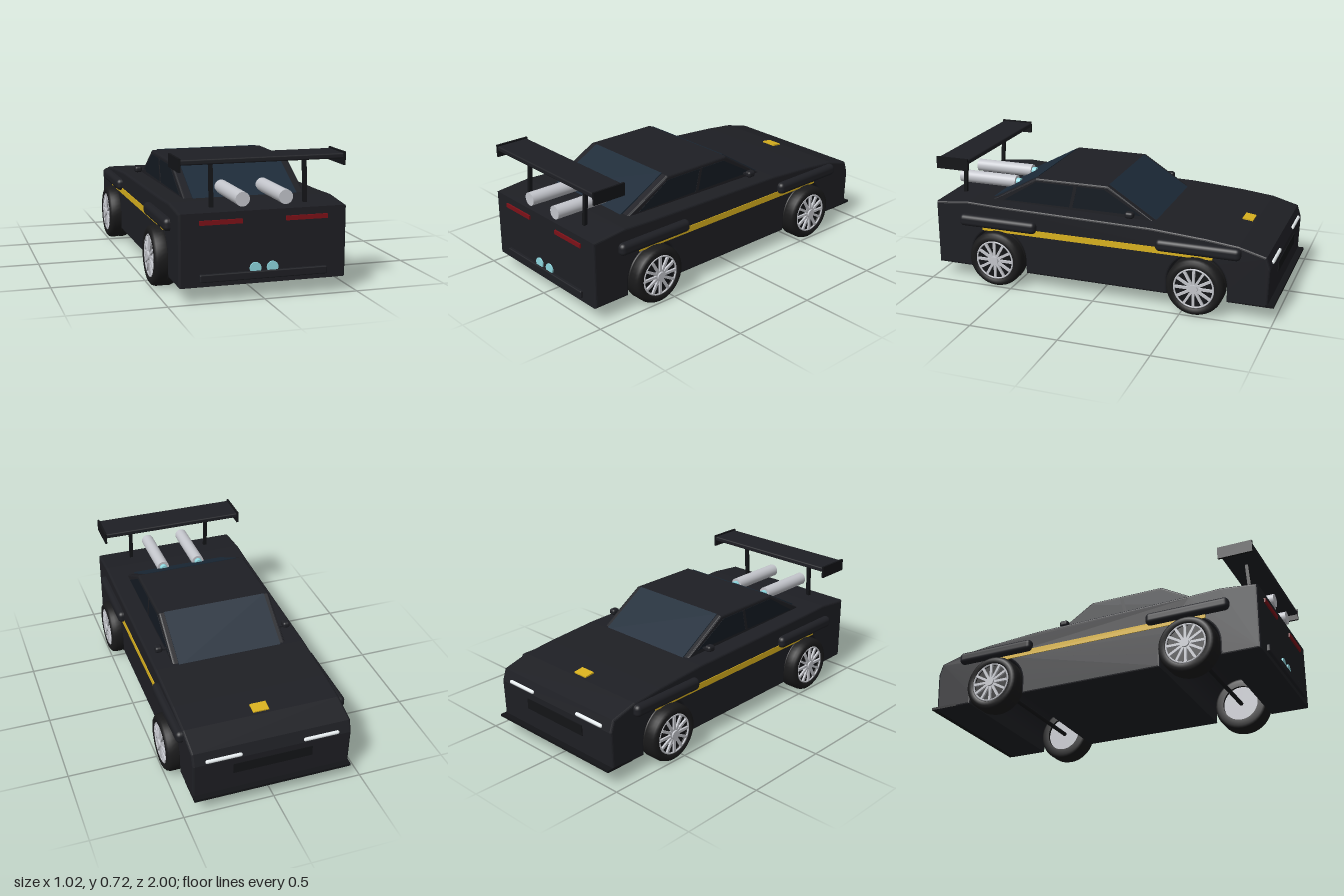
import * as THREE from 'three';
import { RoundedBoxGeometry } from 'three/addons/geometries/RoundedBoxGeometry.js';

const mat = (color) => new THREE.MeshStandardMaterial({ color });
const paint = mat(0x1e1f24), black = mat(0x131417), rubber = mat(0x1a1a1b), glass = mat(0x1c2a38);
const sideGlass = mat(0x141a22), gold = mat(0xd9b11e), red = mat(0x7d1118);
const silver = mat(0xc4c6cc), white = mat(0xe8eef0), cyan = mat(0x8fd8e0);

export function createModel() {
  const car = new THREE.Group();
  car.name = 'sportsCar';

  const add = (name, geometry, material, x = 0, y = 0, z = 0, parent = car) => {
    const m = new THREE.Mesh(geometry, material);
    m.name = name;
    m.position.set(x, y, z);
    parent.add(m);
    return m;
  };
  const box = (name, material, w, h, d, x, y, z) =>
    add(name, new THREE.BoxGeometry(w, h, d), material, x, y, z);
  const rounded = (name, material, w, h, d, r, x, y, z) =>
    add(name, new RoundedBoxGeometry(w, h, d, 3, r), material, x, y, z);

  // Extrudes a (z, y) side profile across the car, centred on x
  const across = (shape, width, bevel = 0) => {
    const g = new THREE.ExtrudeGeometry(shape, {
      depth: width - 2 * bevel, bevelEnabled: bevel > 0, bevelSize: bevel,
      bevelThickness: bevel, bevelOffset: -bevel, bevelSegments: 3, curveSegments: 28,
    });
    g.translate(0, 0, -(width - 2 * bevel) / 2);
    return g.rotateY(-Math.PI / 2);
  };
  const polygon = (pts) => new THREE.Shape(pts.map(([z, y]) => new THREE.Vector2(z, y)));

  // Lower body with wheel arches
  const axles = [-0.575, 0.595];
  const axleY = 0.16;
  const body = new THREE.Shape();
  body.moveTo(-0.965, 0.08);
  for (const z of axles) {
    body.lineTo(z - 0.167, 0.08);
    body.lineTo(z - 0.167, axleY);
    body.absarc(z, axleY, 0.167, Math.PI, 0, true);
    body.lineTo(z + 0.167, 0.08);
  }
  for (const [z, y] of [[0.98, 0.08], [0.98, 0.452], [0.78, 0.472], [0.6, 0.465], [-0.31, 0.45],
    [-0.62, 0.428], [-0.8, 0.408], [-0.95, 0.367], [-0.972, 0.3]]) body.lineTo(z, y);
  add('body', across(body, 0.88, 0.012), paint);

  // Cabin and glass
  const cabin = [[0.7, 0.45], [0.4, 0.62], [-0.03, 0.62], [-0.31, 0.44]];
  add('cabin', across(polygon(cabin), 0.665, 0.012), paint);
  const slab = (a, b, t) => polygon([a, b, [b[0], b[1] + t], [a[0], a[1] + t]]);
  add('windshield', across(slab([-0.315, 0.436], [-0.03, 0.616], 0.008), 0.6), glass);
  add('rearWindow', across(slab([0.4, 0.616], [0.7, 0.453], 0.008), 0.57), glass);
  const sideWindow = polygon([[0.6, 0.472], [0.4, 0.598], [-0.01, 0.598], [-0.225, 0.472]]);
  add('sideWindows', across(sideWindow, 0.669), sideGlass);
  const doorPillar = polygon([[0.2, 0.47], [0.17, 0.6], [0.15, 0.6], [0.18, 0.47]]);
  add('doorPillars', across(doorPillar, 0.672), paint);

  // Bumpers, splitter and grille
  rounded('rearBumper', paint, 0.67, 0.04, 0.04, 0.006, 0, 0.125, 0.977);
  box('frontSplitter', black, 0.88, 0.014, 0.165, 0, 0.092, -0.917);
  box('grille', black, 0.44, 0.06, 0.012, 0, 0.235, -0.969);
  box('hoodBadge', gold, 0.09, 0.012, 0.06, 0, 0.415, -0.755).rotation.x = -0.14;

  // Parts mirrored on both sides
  for (const s of [-1, 1]) {
    box('sideStripe', gold, 0.01, 0.035, 1.35, s * 0.439, 0.33, 0.015);
    for (const z of axles) rounded('fenderFlare', paint, 0.075, 0.068, 0.47, 0.025, s * 0.437, 0.366, z - 0.005);

    box('tailLight', red, 0.22, 0.023, 0.016, s * 0.225, 0.403, 0.981);
    const lamp = add('headlight', new THREE.CapsuleGeometry(0.011, 0.18, 4, 12), white, s * 0.27, 0.315, -0.967);
    lamp.rotation.z = Math.PI / 2;

    // Wing mirror on its stalk
    rounded('mirror', paint, 0.042, 0.036, 0.05, 0.014, s * 0.381, 0.489, -0.175);
    box('mirrorStalk', paint, 0.06, 0.01, 0.014, s * 0.35, 0.478, -0.175);

    // Tail exhausts and deck pipes
    const tip = add('exhaustTip', new THREE.CylinderGeometry(0.03, 0.03, 0.03, 24), cyan, s * 0.045, 0.159, 0.973);
    const pipe = add('deckPipe', new THREE.CylinderGeometry(0.037, 0.037, 0.36, 28), silver, s * 0.113, 0.51, 0.8);
    const cap = add('pipeNozzle', new THREE.CylinderGeometry(0.022, 0.022, 0.03, 20), cyan, s * 0.113, 0.51, 0.61);
    for (const p of [tip, pipe, cap]) p.rotation.x = Math.PI / 2;

    // Wing supports and end plates
    const strut = [[0.9, 0.45], [0.882, 0.69], [0.864, 0.69], [0.88, 0.45]];
    add('wingStrut', across(polygon(strut), 0.02), black, s * 0.248);
    box('wingEndPlate', black, 0.012, 0.068, 0.195, s * 0.43, 0.687, 0.867);
  }
  rounded('wingBlade', paint, 0.86, 0.028, 0.19, 0.008, 0, 0.7, 0.867);

  // Wheel with its axis along y, outer face up
  const tireProfile = [[0.105, -0.0625], [0.14, -0.0625], [0.154, -0.054], [0.16, -0.036], [0.16, -0.012],
    [0.156, -0.009], [0.156, -0.004], [0.16, 0], [0.16, 0.036], [0.154, 0.052], [0.14, 0.0625],
    [0.118, 0.0625], [0.112, 0.05], [0.105, -0.0625]].map(([r, y]) => new THREE.Vector2(r, y));
  const tire = new THREE.LatheGeometry(tireProfile, 40);
  const spoke = new THREE.BoxGeometry(0.088, 0.012, 0.014).translate(0.062, 0, 0);
  const makeWheel = () => {
    const wheel = new THREE.Group();
    wheel.name = 'wheel';
    add('tire', tire, rubber, 0, 0, 0, wheel);
    add('wheelBack', new THREE.CylinderGeometry(0.108, 0.108, 0.02, 32), silver, 0, -0.035, 0, wheel);
    add('brakeDisc', new THREE.CylinderGeometry(0.11, 0.11, 0.02, 32), black, 0, 0.03, 0, wheel);
    const rim = add('rimRing', new THREE.TorusGeometry(0.109, 0.005, 8, 40), silver, 0, 0.056, 0, wheel);
    rim.rotation.x = Math.PI / 2;
    add('hub', new THREE.CylinderGeometry(0.024, 0.026, 0.03, 20), silver, 0, 0.056, 0, wheel);
    for (let i = 0; i < 12; i++) {
      add('spoke', spoke, silver, 0, 0.056, 0, wheel).rotation.y = i * Math.PI / 6;
    }
    return wheel;
  };
  for (const s of [-1, 1]) for (const z of axles) {
    const wheel = makeWheel();
    wheel.position.set(s * 0.4385, axleY, z);
    wheel.rotation.z = -s * Math.PI / 2;
    car.add(wheel);
  }
  // Axles joining the wheels
  for (const z of axles) {
    add('axle', new THREE.CylinderGeometry(0.012, 0.012, 0.8, 12), black, 0, axleY, z).rotation.z = Math.PI / 2;
  }
  return car;
}
